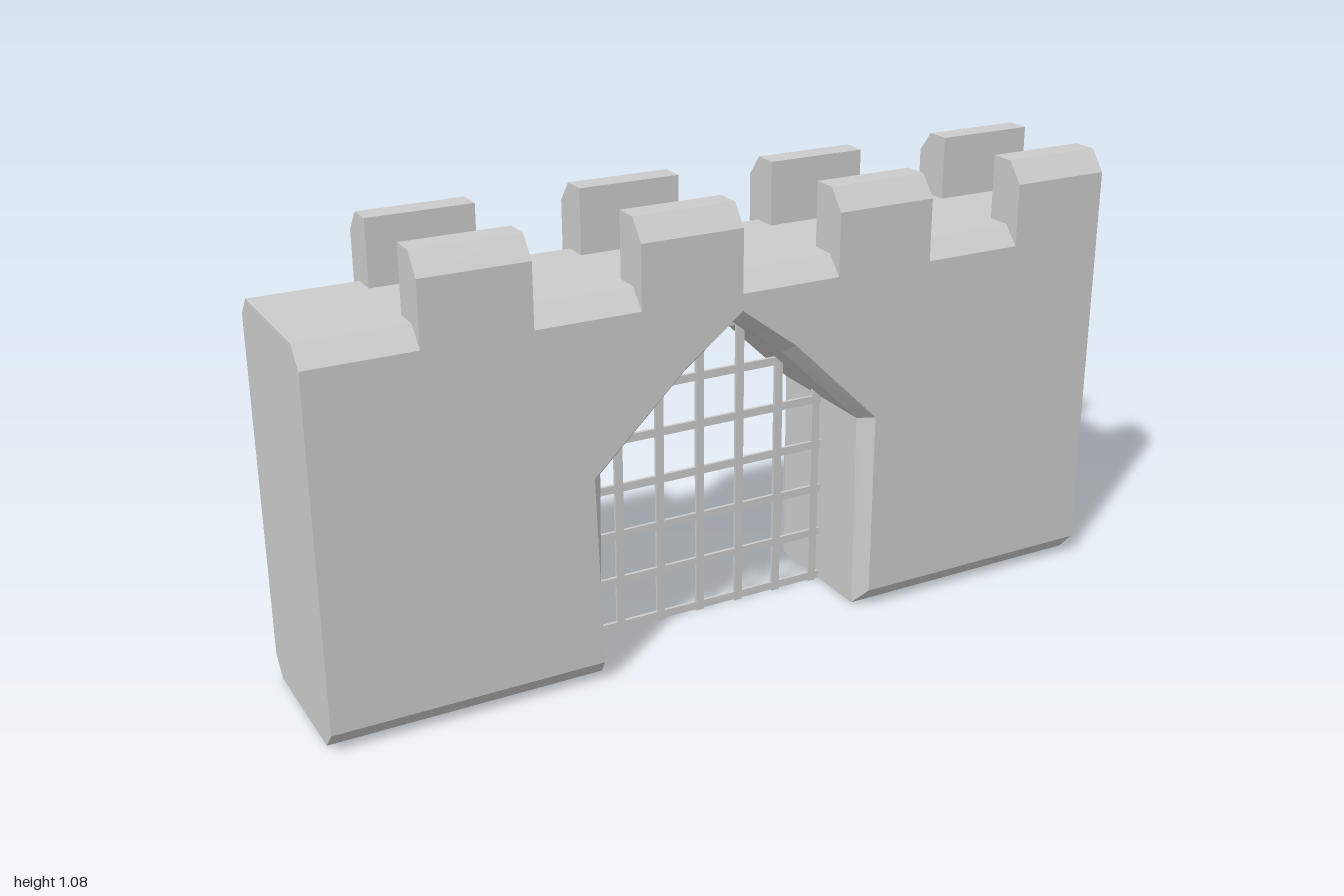
import * as THREE from 'three';

const mat = new THREE.MeshStandardMaterial({ color: 0xcccccc, flatShading: true });

// Wall outline with the arched gateway notched into its lower edge
// (counter-clockwise); arch holds the notch points from left foot to right foot.
function outline(y0, y1, arch) {
  return [[-1, y0], ...arch, [1, y0], [1, y1], [-1, y1]];
}

// Solid through matching outlines stacked along z, capped at both ends
function loft(sections) {
  const n = sections[0].pts.length;
  const pos = [];
  const idx = [];
  for (const s of sections) for (const [x, y] of s.pts) pos.push(x, y, s.z);
  for (let k = 0; k < sections.length - 1; k++) {
    for (let i = 0; i < n; i++) {
      const j = (i + 1) % n;
      const a = k * n + i, b = k * n + j, c = b + n, d = a + n;
      idx.push(a, b, c, a, c, d);
    }
  }
  const cap = (k) => THREE.ShapeUtils.triangulateShape(
    sections[k].pts.map(([x, y]) => new THREE.Vector2(x, y)), []);
  for (const [a, b, c] of cap(0)) idx.push(a, c, b);
  const last = sections.length - 1;
  for (const [a, b, c] of cap(last)) idx.push(a + last * n, b + last * n, c + last * n);
  const indexed = new THREE.BufferGeometry();
  indexed.setAttribute('position', new THREE.Float32BufferAttribute(pos, 3));
  indexed.setIndex(idx);
  const geo = indexed.toNonIndexed();
  geo.computeVertexNormals();
  return geo;
}

export function createModel() {
  const model = new THREE.Group();
  const add = (geo, name, parent = model) => {
    const mesh = new THREE.Mesh(geo, mat);
    mesh.name = name;
    parent.add(mesh);
    return mesh;
  };

  // Wall with chamfered long edges and a splayed gateway rim
  const inner = [[-0.345, 0.005], [-0.338, 0.5], [-0.125, 0.705], [0, 0.805],
    [0.125, 0.705], [0.338, 0.5], [0.342, 0.005]];
  const rim = [[-0.355, 0.05], [-0.37, 0.51], [-0.14, 0.73], [0, 0.835],
    [0.14, 0.73], [0.365, 0.51], [0.365, 0.05]];
  const backRim = rim.map(([x, y]) => [-x, y]).reverse();
  add(loft([
    { z: -0.2, pts: outline(0.05, 0.875, backRim) },
    { z: -0.16, pts: outline(0.005, 0.92, inner) },
    { z: 0.16, pts: outline(0.005, 0.92, inner) },
    { z: 0.2, pts: outline(0.05, 0.875, rim) },
  ]), 'wall');

  // Merlons along both parapets, profile drawn in (z, y)
  const battlements = new THREE.Group();
  battlements.name = 'battlements';
  model.add(battlements);
  for (const side of [1, -1]) {
    const profile = [[0.1, 0.92], [0.16, 0.92], [0.2, 0.875], [0.2, 1.025], [0.16, 1.075], [0.1, 1.075]];
    const shape = new THREE.Shape(profile.map(([z, y]) => new THREE.Vector2(-z * side, y)));
    const geo = new THREE.ExtrudeGeometry(shape, { depth: 0.25, bevelEnabled: false });
    geo.rotateY(Math.PI / 2);
    for (const x of [-0.75, -0.25, 0.25, 0.75]) {
      add(geo, side > 0 ? 'frontMerlon' : 'backMerlon', battlements).position.x = x;
    }
  }

  // Portcullis: lattice of flat bars, the middle one rising through the wall top
  const portcullis = new THREE.Group();
  portcullis.name = 'portcullis';
  model.add(portcullis);
  const tops = [0.935, 0.76, 0.66, 0.56];
  for (let i = -3; i <= 3; i++) {
    const h = tops[Math.abs(i)];
    add(new THREE.BoxGeometry(0.021, h, 0.008), 'verticalBar', portcullis)
      .position.set(i * 0.108, h / 2, 0);
  }
  for (let i = 0; i < 7; i++) {
    const half = [0.345, 0.345, 0.345, 0.345, 0.345, 0.26, 0.14][i];
    add(new THREE.BoxGeometry(half * 2, 0.02, 0.008), 'horizontalBar', portcullis)
      .position.set(0, 0.014 + i * 0.1205, 0);
  }
  return model;
}
